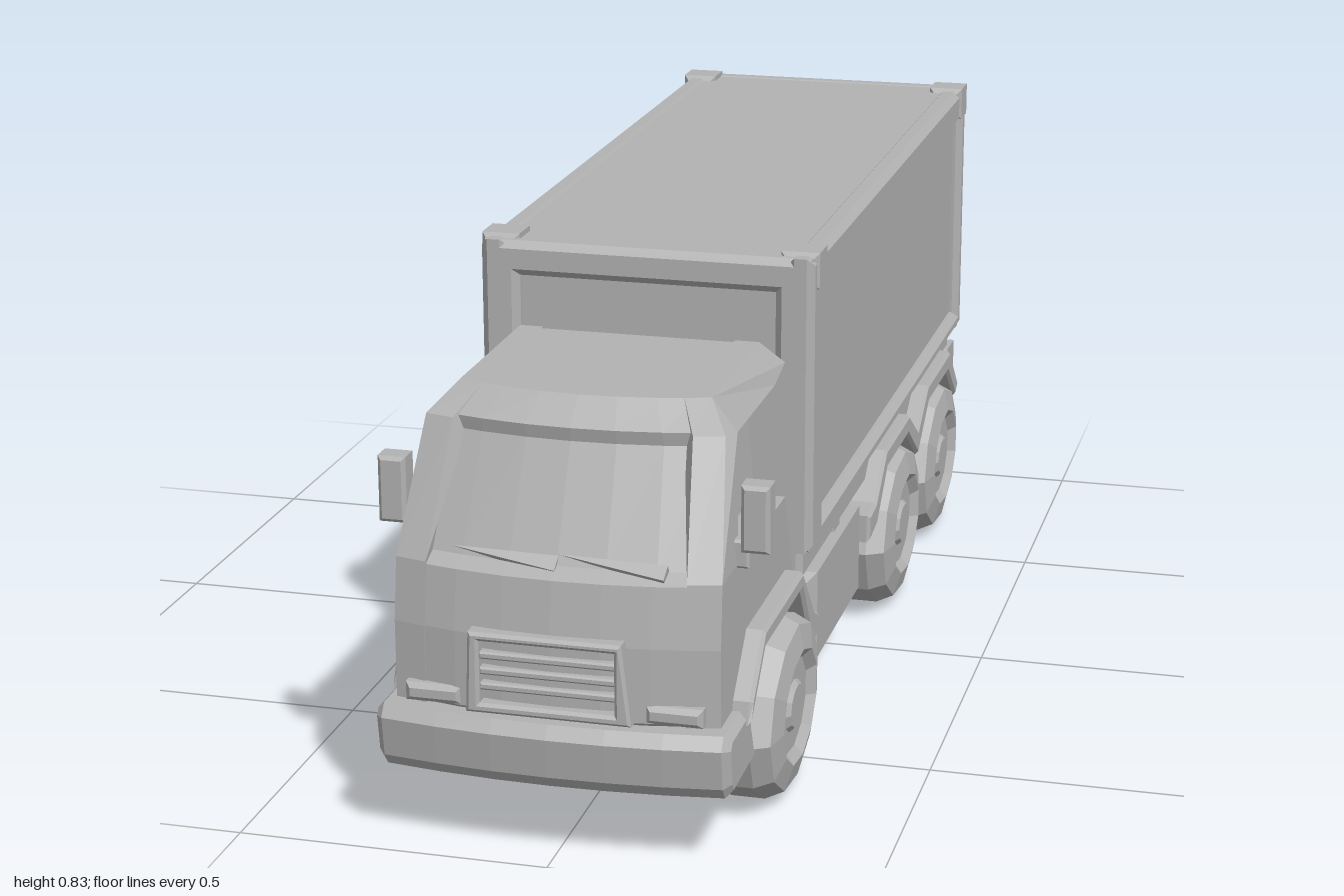
import * as THREE from 'three';

const grey = new THREE.MeshStandardMaterial({ color: 0xb2b2b2 });

function add(group, name, geo) {
  const g = geo.index ? geo.toNonIndexed() : geo;
  g.computeVertexNormals(); // faceted
  const mesh = new THREE.Mesh(g, grey);
  mesh.name = name;
  group.add(mesh);
  return mesh;
}

// Moves every vertex by a rule
function warp(geo, rule) {
  const p = geo.attributes.position;
  const v = new THREE.Vector3();
  for (let i = 0; i < p.count; i++) {
    v.fromBufferAttribute(p, i);
    rule(v);
    p.setXYZ(i, v.x, v.y, v.z);
  }
  return geo;
}

const toShape = (pts) => new THREE.Shape(pts.map(([a, b]) => new THREE.Vector2(a, b)));
const rect = (a0, a1, b0, b1) => [[a0, b0], [a1, b0], [a1, b1], [a0, b1]];

// Extrudes a flat outline along z between w0 and w1, with chamfered rims
function slab(pts, w0, w1, { hole, bevel = 0, steps = 1 } = {}) {
  const shape = toShape(pts);
  if (hole) shape.holes.push(toShape(hole));
  const geo = new THREE.ExtrudeGeometry(shape, {
    depth: w1 - w0 - 2 * bevel, steps, bevelEnabled: bevel > 0, bevelSegments: 1,
    bevelSize: bevel, bevelThickness: bevel, bevelOffset: -bevel,
  });
  return geo.translate(0, 0, w0 + bevel);
}

// Same, for a (z, y) outline extruded across x
function sideSlab(pts, x0, x1, opts) {
  return slab(pts, -x1, -x0, opts).rotateY(-Math.PI / 2);
}

// Chamfered block
function block(x0, x1, y0, y1, z0, z1, bevel = 0.01) {
  return slab(rect(x0, x1, y0, y1), z0, z1, { bevel });
}

// Cab half width at a height, and the bowed nose
function cabHalfWidth(y) {
  if (y < 0.45) return 0.257;
  if (y < 0.66) return 0.257 - (y - 0.45) * 0.1;
  return 0.236 - (y - 0.66) * 0.9;
}
function cabRule(v) {
  const f = v.x;
  v.x = f * cabHalfWidth(v.y);
  if (v.z > 0.78) v.z -= 0.035 * f * f;
}

function buildCab() {
  const cab = new THREE.Group();
  cab.name = 'cab';
  add(cab, 'cabBody', warp(sideSlab([
    [0.44, 0.2], [0.93, 0.2], [0.968, 0.24], [0.968, 0.36], [0.955, 0.455], [0.925, 0.468],
    [0.845, 0.64], [0.85, 0.662], [0.8, 0.7], [0.47, 0.7], [0.44, 0.67],
  ], -0.9, 0.9, { steps: 6 }), cabRule));
  for (const s of [-1, 1]) {
    add(cab, 'cabSide', warp(sideSlab([
      [0.43, 0.24], [0.5, 0.32], [0.77, 0.32], [0.84, 0.235], [0.97, 0.235], [0.97, 0.36],
      [0.958, 0.46], [0.86, 0.66], [0.8, 0.7], [0.46, 0.7], [0.43, 0.66],
    ], s > 0 ? 0.8 : -1, s > 0 ? 1 : -0.8, {
      hole: [[0.51, 0.46], [0.86, 0.46], [0.79, 0.645], [0.51, 0.645]],
    }), cabRule));
    // Mirror with its arm
    const m = [0.265, 0.31].map((x) => x * s).sort((a, b) => a - b);
    add(cab, 'mirror', block(m[0], m[1], 0.485, 0.592, 0.805, 0.85, 0.006));
    const a = [0.235, 0.275].map((x) => x * s).sort((p, q) => p - q);
    add(cab, 'mirrorArm', block(a[0], a[1], 0.455, 0.5, 0.805, 0.835, 0.004));
    // Wiper ridge
    const wiper = add(cab, 'wiper', new THREE.ConeGeometry(0.018, 0.17, 4).rotateZ(Math.PI / 2));
    wiper.position.set(s * 0.085, 0.475, 0.92);
    wiper.rotation.z = -0.12;
    // Headlight
    add(cab, 'headlight', block(s * 0.19 - 0.045, s * 0.19 + 0.045, 0.24, 0.27, 0.9, 0.962, 0.008));
  }
  // Grille with bars
  add(cab, 'grilleFrame', slab(
    [[-0.13, 0.242], [0.13, 0.242], [0.115, 0.372], [-0.125, 0.372]], 0.93, 0.985,
    { hole: rect(-0.108, 0.104, 0.258, 0.358), bevel: 0.005 }));
  for (const y of [0.283, 0.308, 0.333]) {
    add(cab, 'grilleBar', block(-0.11, 0.108, y - 0.006, y + 0.006, 0.94, 0.977, 0.003));
  }
  // Bowed bumper
  add(cab, 'bumper', warp(sideSlab([
    [0.8, 0.135], [0.975, 0.13], [0.99, 0.15], [1.0, 0.215], [0.985, 0.235], [0.84, 0.235],
  ], -0.28, 0.28, { steps: 6, bevel: 0.012 }), (v) => {
    if (v.z > 0.9) v.z -= 0.3 * v.x * v.x;
  }));
  return cab;
}

function buildCargo() {
  const cargo = new THREE.Group();
  cargo.name = 'cargoBox';
  add(cargo, 'cargoCore', block(-0.262, 0.262, 0.33, 0.826, -0.972, 0.4, 0.004));
  const sideRim = rect(-0.99, 0.42, 0.33, 0.83);
  const sideHole = rect(-0.95, 0.33, 0.365, 0.765);
  for (const s of [-1, 1]) {
    add(cargo, 'sideFrame', sideSlab(sideRim, s > 0 ? 0.235 : -0.28, s > 0 ? 0.28 : -0.235,
      { hole: sideHole, bevel: 0.012 }));
    // Raised corner castings on the roof
    for (const z of [0.365, -0.945]) {
      add(cargo, 'cornerCasting', block(s * 0.252 - 0.032, s * 0.252 + 0.032, 0.775, 0.835,
        z - 0.042, z + 0.042, 0.014));
    }
  }
  const endRim = rect(-0.275, 0.275, 0.33, 0.828);
  const endHole = rect(-0.215, 0.215, 0.385, 0.77);
  add(cargo, 'frontFrame', slab(endRim, 0.38, 0.42, { hole: endHole, bevel: 0.012 }));
  add(cargo, 'rearFrame', slab(endRim, -0.993, -0.95, { hole: endHole, bevel: 0.012 }));
  return cargo;
}

function buildChassis() {
  const chassis = new THREE.Group();
  chassis.name = 'chassis';
  add(chassis, 'underbody', sideSlab([
    [-0.9, 0.17], [-0.84, 0.12], [-0.1, 0.1], [0.4, 0.115], [0.85, 0.135], [0.85, 0.24],
    [0.42, 0.34], [-0.93, 0.34],
  ], -0.2, 0.2));
  add(chassis, 'bedRail', block(-0.262, 0.262, 0.285, 0.345, -0.95, 0.41));
  // Front and double rear mudguards
  const front = [[0.87, 0.215], [0.775, 0.305], [0.515, 0.305], [0.435, 0.18], [0.38, 0.18],
    [0.38, 0.215], [0.42, 0.235], [0.51, 0.335], [0.775, 0.335], [0.86, 0.25]];
  const rear = [[-0.01, 0.2], [-0.08, 0.21], [-0.17, 0.288], [-0.37, 0.288], [-0.475, 0.215],
    [-0.58, 0.288], [-0.79, 0.288], [-0.88, 0.21], [-0.91, 0.23], [-0.81, 0.325], [-0.57, 0.325],
    [-0.475, 0.265], [-0.38, 0.325], [-0.16, 0.325], [-0.07, 0.255], [-0.01, 0.25]];
  for (const s of [-1, 1]) {
    const span = (a, b) => (s > 0 ? [a, b] : [-b, -a]);
    add(chassis, 'frontMudguard', sideSlab(front, ...span(0.19, 0.288), { bevel: 0.006 }));
    add(chassis, 'rearMudguard', sideSlab(rear, ...span(0.17, 0.292), { bevel: 0.006 }));
    add(chassis, 'sideTank', block(...span(0.15, 0.275), 0.118, 0.272, -0.015, 0.36, 0.015));
    add(chassis, 'tankCap', block(...span(0.215, 0.26), 0.26, 0.288, 0.095, 0.15, 0.006));
    add(chassis, 'tailLight', block(...span(0.17, 0.27), 0.225, 0.3, -0.985, -0.89, 0.012));
    add(chassis, 'mudFlap', block(...span(0.19, 0.275), 0.155, 0.235, -0.925, -0.885, 0.006));
  }
  add(chassis, 'rearCrossbar', block(-0.18, 0.18, 0.245, 0.32, -0.965, -0.9));
  add(chassis, 'towHitch', block(-0.05, 0.05, 0.18, 0.26, -0.955, -0.88));
  return chassis;
}

// Low-poly wheel, slightly wider than tall, rim face outward
function buildWheel(side, z) {
  const profile = [[0, 0.18], [0.115, 0.18], [0.165, 0.192], [0.19, 0.215], [0.19, 0.27],
    [0.172, 0.3], [0.12, 0.31], [0.1, 0.296], [0.055, 0.296], [0.045, 0.304], [0, 0.304]]
    .map(([r, x]) => new THREE.Vector2(r, x));
  const geo = new THREE.LatheGeometry(profile, 11).rotateZ(-Math.PI / 2);
  geo.scale(1, 0.76, 1);
  if (side < 0) geo.rotateY(Math.PI);
  const group = new THREE.Group();
  group.name = 'wheel';
  add(group, 'tyreAndRim', geo);
  group.position.set(0, 0.148, z);
  return group;
}

export function createModel() {
  const truck = new THREE.Group();
  truck.name = 'boxTruck';
  truck.add(buildCab(), buildCargo(), buildChassis());
  for (const z of [0.62, -0.275, -0.678]) {
    for (const side of [-1, 1]) truck.add(buildWheel(side, z));
    const axle = add(truck, 'axle', new THREE.CylinderGeometry(0.055, 0.055, 0.4, 8).rotateZ(Math.PI / 2));
    axle.position.set(0, 0.148, z);
  }
  return truck;
}
